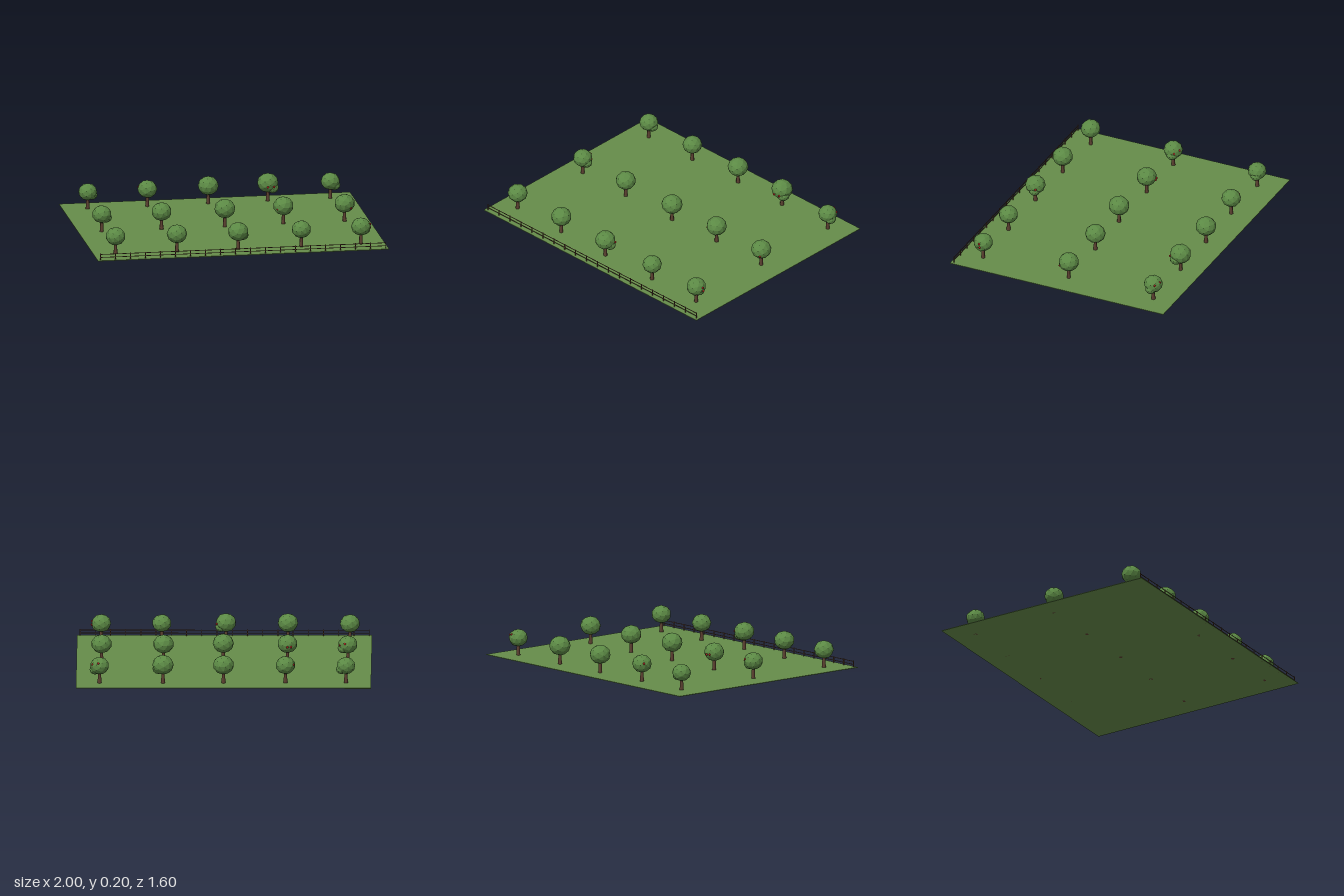
import * as THREE from 'three';

const mat = (name, color, flatShading = false) => {
  const m = new THREE.MeshStandardMaterial({ color, flatShading });
  m.name = name;
  return m;
};

export function createModel() {
  const orchard = new THREE.Group();
  orchard.name = 'orchard';
  const grass = mat('grass green', 0x668c4a);
  const leaf = mat('leaf green', 0x5c8a45, true);
  const bark = mat('bark brown', 0x5c4030);
  const wood = mat('fence brown', 0x5a3d2b);
  const red = mat('apple red', 0xb02420);

  const add = (parent, name, geometry, material, x, y, z) => {
    const mesh = new THREE.Mesh(geometry, material);
    mesh.name = name;
    mesh.position.set(x, y, z);
    parent.add(mesh);
    return mesh;
  };

  // Ground slab
  add(orchard, 'ground', new THREE.BoxGeometry(2, 0.004, 1.6), grass, 0, 0.002, 0);

  // Shared tree geometry
  const crownGeo = new THREE.IcosahedronGeometry(1, 1);
  const trunkGeo = new THREE.CylinderGeometry(0.01, 0.014, 0.08, 7);
  const appleGeo = new THREE.SphereGeometry(0.008, 8, 6);

  // Each tree: x, z, crown radius, optional lump [dx, y, dz, r], apples [dx, y, dz]
  const trees = [
    { x: -0.83, z: -0.635, r: 0.064, lump: [0.03, 0.1, -0.005, 0.038] },
    { x: -0.42, z: -0.635, r: 0.067, apples: [[-0.055, 0.135, -0.03]] },
    { x: 0, z: -0.645, r: 0.071 },
    { x: 0.41, z: -0.65, r: 0.073, lump: [0.03, 0.1, 0.02, 0.042],
      apples: [[-0.01, 0.115, 0.069], [0.033, 0.115, 0.063]] },
    { x: 0.84, z: -0.65, r: 0.065, lump: [0.03, 0.096, 0.005, 0.038],
      apples: [[0.008, 0.15, -0.052], [0.048, 0.14, -0.033]] },
    { x: -0.84, z: 0, r: 0.066, lump: [0.03, 0.1, -0.005, 0.04],
      apples: [[0.02, 0.14, -0.056], [0.052, 0.125, -0.03]] },
    { x: -0.43, z: 0.005, r: 0.069, apples: [[-0.025, 0.118, -0.063], [0, 0.118, -0.068]] },
    { x: 0.005, z: 0.005, r: 0.072 },
    { x: 0.41, z: -0.01, r: 0.07, apples: [[-0.045, 0.115, 0.04]] },
    { x: 0.83, z: -0.01, r: 0.07, apples: [[0.036, 0.105, 0.05]] },
    { x: -0.85, z: 0.625, r: 0.068 },
    { x: -0.43, z: 0.635, r: 0.07 },
    { x: -0.01, z: 0.64, r: 0.07, lump: [0.035, 0.1, -0.01, 0.038],
      apples: [[0.063, 0.125, -0.03]] },
    { x: 0.425, z: 0.635, r: 0.066 },
    { x: 0.835, z: 0.63, r: 0.067, lump: [0.025, 0.105, 0, 0.038],
      apples: [[0.062, 0.14, 0], [0.064, 0.115, -0.004]] },
  ];
  for (const { x, z, r, lump, apples = [] } of trees) {
    const tree = new THREE.Group();
    tree.name = 'tree';
    tree.position.set(x, 0, z);
    add(tree, 'trunk', trunkGeo, bark, 0, 0.04, 0);
    const crown = add(tree, 'crown', crownGeo, leaf, 0, 0.064 + r * 0.92, 0);
    crown.scale.set(r, r * 0.92, r);
    crown.rotation.y = x * 5 + z * 3;
    if (lump) {
      const [dx, y, dz, s] = lump;
      add(tree, 'lowerCrown', crownGeo, leaf, dx, y, dz).scale.set(s, s * 0.9, s);
    }
    for (const a of apples) add(tree, 'apple', appleGeo, red, ...a);
    orchard.add(tree);
  }

  // Fence along the front edge
  const fence = new THREE.Group();
  fence.name = 'fence';
  const postGeo = new THREE.BoxGeometry(0.005, 0.048, 0.005);
  for (let i = 0; i < 20; i++) {
    add(fence, 'fencePost', postGeo, wood, -0.98 + (i * 1.96) / 19, 0.024, 0.78);
  }
  const railGeo = new THREE.BoxGeometry(1.96, 0.004, 0.003);
  for (const y of [0.022, 0.043]) add(fence, 'fenceRail', railGeo, wood, 0, y, 0.78);
  orchard.add(fence);

  return orchard;
}
